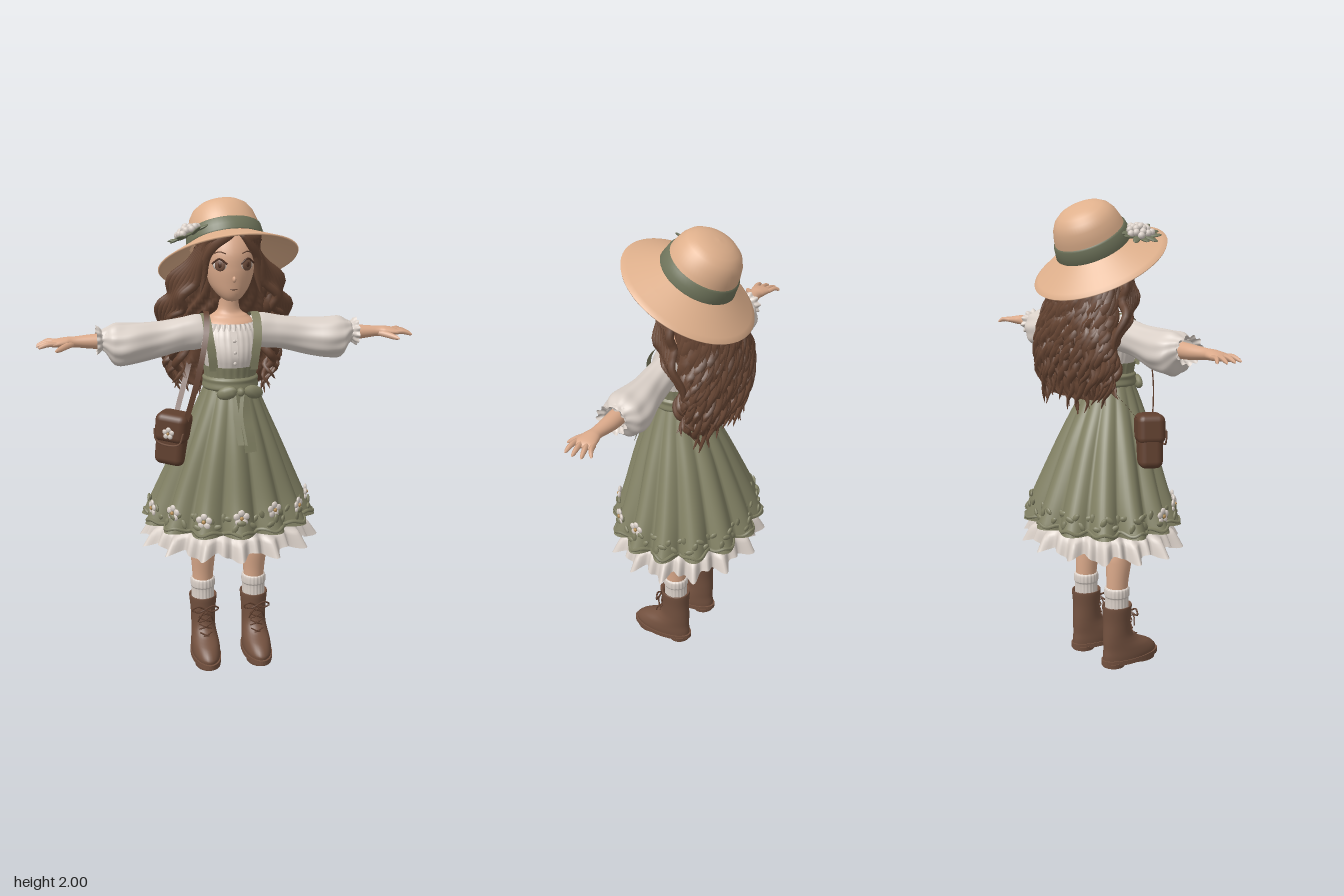
import * as THREE from 'three';
import { mergeGeometries } from 'three/addons/utils/BufferGeometryUtils.js';
import { RoundedBoxGeometry } from 'three/addons/geometries/RoundedBoxGeometry.js';
import { ParametricGeometry } from 'three/addons/geometries/ParametricGeometry.js';

const V = (x, y, z) => new THREE.Vector3(x, y, z);
const { sin, cos, abs, PI, sqrt } = Math;

const mat = (name, color) => {
  const m = new THREE.MeshStandardMaterial({ color, side: THREE.DoubleSide });
  m.name = name;
  return m;
};

// Rows are [height, centreX, centreZ, radiusX, radiusZ]
function sampler(rows, byHeight) {
  const f = new THREE.CubicInterpolant(rows.map((r, i) => (byHeight ? r[0] : i)), rows.flat(), 5);
  return (t) => [...f.evaluate(t)];
}
// Smooth skin over elliptical rows, with optional fold and lift rules
function loft(rows, fold = () => 1, seg = 28, stacks = 20, lift = () => 0) {
  const at = sampler(rows);
  return new ParametricGeometry((u, v, p) => {
    const [y, cx, cz, rx, rz] = at(v * (rows.length - 1));
    const a = u * 2 * PI, k = fold(a, v);
    p.set(cx + rx * k * sin(a), y + lift(a, v), cz + rz * k * cos(a));
  }, seg, stacks);
}
// Round strand along points, thinning by a rule
function strand(pts, r, taper = (t) => sqrt(1 - 0.96 * t ** 4), n = 16, sides = 6) {
  const curve = new THREE.CatmullRomCurve3(pts.map((p) => V(...p)));
  const g = new THREE.TubeGeometry(curve, n, r, sides);
  const pos = g.attributes.position, q = V(0, 0, 0);
  for (let i = 0; i < pos.count; i++) {
    const t = g.attributes.uv.getX(i), c = curve.getPointAt(t);
    q.fromBufferAttribute(pos, i).sub(c).multiplyScalar(taper(t)).add(c);
    pos.setXYZ(i, q.x, q.y, q.z);
  }
  return g;
}
// Flat band along points, widened in one direction
function ribbon(pts, width, dir = V(1, 0, 0)) {
  const curve = new THREE.CatmullRomCurve3(pts.map((p) => V(...p)));
  return new ParametricGeometry((u, v, p) => p.copy(curve.getPoint(v)).addScaledVector(dir, (u - 0.5) * width), 2, 28);
}
function blob(pos, size, ry = 0, rz = 0) {
  const g = new THREE.SphereGeometry(1, 9, 7).scale(...size);
  return g.rotateZ(rz).rotateY(ry).translate(...pos);
}
const lockTaper = (t) => Math.max(0.04, sqrt(1 - t ** 3) * (0.6 + 0.4 * sin(PI * t)));

export function createModel() {
  const skin = mat('skin', 0xdaa98a), hair = mat('hair', 0x654432), straw = mat('straw', 0xdfb08c);
  const sage = mat('sage cloth', 0x828164), cream = mat('cream cloth', 0xdad0c8), boot = mat('boot leather', 0x73513f);
  const leather = mat('bag leather', 0x61402f), leaf = mat('leaf green', 0x6f745b), gold = mat('flower centre', 0xb98f56);
  const dark = mat('eye brown', 0x503224);
  const model = new THREE.Group();
  const add = (name, geo, material, parent = model) => {
    const m = new THREE.Mesh(Array.isArray(geo) ? mergeGeometries(geo) : geo, material);
    m.name = name;
    parent.add(m);
    return m;
  };
  const flower = (parent, pos, ry, r) => {
    const g = new THREE.Group();
    g.name = 'flower';
    g.position.set(...pos);
    g.rotation.y = ry;
    add('petals', [0, 1, 2, 3, 4].map((i) => blob([r * sin(i * 1.257), r * cos(i * 1.257), 0], [r * 0.7, r * 0.7, r * 0.35])), cream, g);
    add('flowerCentre', blob([0, 0, r * 0.3], [r * 0.4, r * 0.4, r * 0.3]), gold, g);
    parent.add(g);
  };

  // Head, neck and upper chest
  add('head', loft([[1.598, 0, 0.085, 0.002, 0.002], [1.605, 0, 0.075, 0.03, 0.033], [1.63, 0, 0.05, 0.06, 0.073], [1.67, 0, 0.03, 0.086, 0.1],
    [1.73, 0, 0.02, 0.103, 0.115], [1.8, 0, 0.012, 0.108, 0.117], [1.87, 0, -0.01, 0.095, 0.1], [1.93, 0, -0.02, 0.04, 0.04]], undefined, 32, 28), skin);
  add('nose', blob([0, 1.693, 0.133], [0.008, 0.013, 0.013]), skin);
  add('mouth', blob([0, 1.652, 0.126], [0.017, 0.003, 0.005]), boot);
  add('neck', loft([[1.44, 0, 0.035, 0.11, 0.085], [1.5, 0, 0.025, 0.106, 0.072], [1.53, 0, 0.015, 0.08, 0.052],
    [1.56, 0, 0.01, 0.045, 0.042], [1.65, 0, 0.015, 0.04, 0.04]]), skin);
  for (const s of [-1, 1]) {
    const eye = new THREE.Group();
    eye.name = 'eye';
    eye.position.set(s * 0.055, 1.748, 0.117);
    eye.rotation.y = s * 0.5;
    add('eyeWhite', blob([0, 0, 0], [0.03, 0.021, 0.006]), cream, eye);
    add('iris', blob([-s * 0.002, 0, 0.003], [0.024, 0.023, 0.006]), boot, eye);
    add('pupil', blob([-s * 0.002, 0.002, 0.007], [0.009, 0.011, 0.004]), dark, eye);
    add('lash', strand([[-0.032, 0.006, 0.003], [0, 0.026, 0.006], [0.032, 0.006, 0.003]], 0.004, () => 1), dark, eye);
    add('brow', strand([[-0.024, 0.047, 0], [0, 0.054, 0.002], [0.024, 0.047, 0]], 0.0025, () => 1), hair, eye);
    model.add(eye);
    add('ear', blob([s * 0.106, 1.725, 0.005], [0.012, 0.027, 0.02]), skin);
  }

  // Hair: cap, back mass and wavy locks that follow it
  add('hairCap', loft([[1.6, 0, -0.05, 0.1, 0.085], [1.75, 0, -0.035, 0.126, 0.122], [1.85, 0, -0.03, 0.122, 0.125],
    [1.91, 0, -0.04, 0.09, 0.09], [1.94, 0, -0.04, 0.002, 0.002]], (a) => 1 + 0.015 * sin(22 * a), 88), hair);
  const massRows = [[1.21, 0, -0.14, 0.17, 0.055], [1.3, 0, -0.142, 0.205, 0.072], [1.45, 0, -0.13, 0.205, 0.083],
    [1.58, 0, -0.09, 0.17, 0.1], [1.75, 0, -0.04, 0.128, 0.118], [1.82, 0, -0.035, 0.115, 0.11]];
  add('hairBack', loft(massRows, (a, v) => 1 + 0.05 * sin(13 * a + 3 * sin(v * 16)), 78, 32), hair);
  const mass = sampler(massRows, true), locks = [];
  for (let i = 0; i < 66; i++) {
    const layer = i % 3, b = ((i / 65) * 2 - 1) * 1.75;
    const end = [1.175, 1.26, 1.38][layer] + 0.03 * sin(i * 2.3), top = 1.8 - 0.03 * layer;
    const pts = [];
    for (let j = 0; j <= 14; j++) {
      const t = j / 14, y = top + (end - top) * t, [, , cz, rx, rz] = mass(y);
      const w = j * 1.55 + i * 0.9 + layer;
      const a = b + 0.13 * Math.min(1, 2 * t) * sin(w);
      const k = 1.02 + 0.15 * t * abs(sin(b)) + 0.1 * t * cos(w);
      pts.push([rx * k * sin(a), y, cz - rz * k * cos(a)]);
    }
    locks.push(strand(pts, 0.024, lockTaper, 36, 5));
  }
  for (const s of [-1, 1]) {
    // Side curls, ringlets below the sleeves and a parted fringe
    for (let i = 0; i < 7; i++) {
      const d = i * 0.016;
      locks.push(strand([[s * 0.09, 1.85, 0.07 - d], [s * (0.122 + d * 0.3), 1.75, 0.065 - d], [s * (0.14 + d), 1.67, 0.045 - d],
        [s * (0.2 + d * 0.3), 1.61, 0.03 - d], [s * (0.185 + d), 1.56, 0.01 - d], [s * (0.235 + d * 0.3), 1.52 - d * 0.5, -0.03 - d],
        [s * (0.2 + d * 0.4), 1.46 - d, -0.08 - d * 0.4]], 0.02, lockTaper, 26));
    }
    for (let i = 0; i < 4; i++) {
      const pts = [];
      for (let j = 0; j <= 8; j++) {
        const w = j * 1.6 + i * 1.3;
        pts.push([s * (0.19 + 0.012 * i + 0.024 * sin(w)), 1.48 - j * (0.034 - 0.002 * i), -0.075 - 0.022 * i + 0.018 * cos(w)]);
      }
      locks.push(strand(pts, 0.019, lockTaper, 28));
    }
    for (let i = 0; i < 5; i++) {
      const d = i * 0.014;
      locks.push(strand([[0.018, 1.885, 0.085], [0.015 + s * (0.03 + d), 1.862 - d * 0.1, 0.106 - d * 0.2],
        [s * (0.072 + d * 0.5), 1.825, 0.1 - d * 0.5], [s * 0.107, 1.765 - d, 0.075 - d * 0.3], [s * 0.125, 1.68 - d, 0.05]], 0.02, lockTaper, 22));
    }
  }
  add('hairLocks', locks, hair);

  // Sun hat, tipped back
  const hat = new THREE.Group();
  hat.name = 'hat';
  hat.position.set(0, 1.77, -0.015);
  hat.rotation.set(-0.49, 0, 0.07);
  model.add(hat);
  const lathe = (pts) => new THREE.LatheGeometry(pts.map((p) => new THREE.Vector2(...p)), 56);
  add('brim', lathe([[0.15, 0.042], [0.22, 0.005], [0.27, -0.022], [0.287, -0.03], [0.291, -0.024], [0.27, -0.012], [0.22, 0.016], [0.153, 0.055]]), straw, hat);
  add('crown', lathe([[0.156, 0.05], [0.151, 0.09], [0.145, 0.13], [0.134, 0.168], [0.117, 0.196], [0.092, 0.215], [0.06, 0.227], [0.03, 0.231], [0, 0.233]]), straw, hat);
  add('hatBand', lathe([[0.158, 0.05], [0.163, 0.056], [0.159, 0.08], [0.155, 0.106], [0.147, 0.112]]), leaf, hat);
  const posy = new THREE.Group();
  posy.name = 'hatPosy';
  posy.position.set(-0.168, 0.062, 0.115);
  posy.rotation.set(0.35, 0, 0.35);
  hat.add(posy);
  const hatLeaves = [], blossoms = [];
  for (let i = 0; i < 11; i++) hatLeaves.push(blob([0, 0, 0], [0.036, 0.006, 0.015], 0, 0.25 * (i % 2)).translate(0.056, 0, 0).rotateY(i * 0.571));
  for (let i = 0; i < 16; i++) {
    const a = i * 2.4, r = 0.013 * sqrt(i);
    blossoms.push(blob([r * cos(a), 0.03 - r * 0.4, r * sin(a)], [0.015, 0.015, 0.015]));
  }
  add('hatLeaves', hatLeaves, leaf, posy);
  add('hatBlossoms', blossoms, cream, posy);

  // Blouse, neckline frill and buttons
  add('blouse', loft([[1.24, 0, 0.045, 0.098, 0.088], [1.3, 0, 0.045, 0.1, 0.09], [1.38, 0, 0.05, 0.116, 0.105],
    [1.45, 0, 0.042, 0.125, 0.094], [1.5, 0, 0.028, 0.111, 0.077]], (a, v) => 1 + 0.012 * sin(30 * a) * v, 120, 12), cream);
  add('necklineFrill', loft([[1.482, 0, 0.032, 0.117, 0.086], [1.498, 0, 0.029, 0.114, 0.083], [1.512, 0, 0.026, 0.107, 0.079]],
    (a) => 1 + 0.04 * sin(32 * a), 160, 4, (a) => -0.006 * cos(a)), cream);
  add('placket', ribbon([[0, 1.33, 0.145], [0, 1.38, 0.159], [0, 1.44, 0.143], [0, 1.48, 0.122]], 0.024), cream);
  add('buttons', [1.355, 1.4, 1.445].map((y, i) => blob([0, y, [0.157, 0.158, 0.144][i]], [0.007, 0.007, 0.004])), cream);

  // Sleeves, arms and hands
  for (const s of [-1, 1]) {
    const along = (rows, fold, seg, n) => loft(rows.map(([x, dy, ...r]) => [x, -s * dy, ...r]), fold, seg, n).rotateZ(-s * PI / 2).translate(0, 1.45, 0);
    add('sleeve', along([[0.07, 0.015, 0.01, 0.045, 0.045], [0.12, 0.015, 0.01, 0.07, 0.063], [0.2, 0.006, 0.01, 0.071, 0.06], [0.3, -0.013, 0.01, 0.074, 0.066],
      [0.41, -0.026, 0.012, 0.086, 0.09], [0.475, -0.026, 0.012, 0.083, 0.088], [0.51, -0.01, 0.014, 0.052, 0.056], [0.525, -0.006, 0.015, 0.04, 0.043]],
    (a, v) => 1 + 0.04 * v * sin(9 * a + 5 * v) + 0.02 * sin(25 * v + 2 * a), 64, 32), cream);
    add('cuffFrill', along([[0.505, -0.006, 0.015, 0.05, 0.055], [0.522, -0.006, 0.015, 0.039, 0.042], [0.535, -0.006, 0.015, 0.05, 0.056], [0.548, -0.006, 0.015, 0.056, 0.064]],
      (a, v) => 1 + 0.1 * v * sin(11 * a), 88, 8), cream);
    add('forearm', along([[0.48, -0.01, 0.015, 0.034, 0.036], [0.56, -0.01, 0.015, 0.03, 0.033], [0.635, -0.008, 0.02, 0.022, 0.026], [0.67, -0.008, 0.022, 0.021, 0.035],
      [0.71, -0.01, 0.022, 0.016, 0.043], [0.73, -0.013, 0.022, 0.01, 0.037], [0.736, -0.013, 0.022, 0.001, 0.002]]), skin);
    const fingers = [[-0.012, -0.042, 0.765], [0.01, -0.012, 0.787], [0.033, 0.025, 0.79], [0.054, 0.06, 0.783]].map(([z0, z1, x]) =>
      strand([[s * 0.705, 1.44, z0], [s * 0.745, 1.441, (z0 + z1) / 2], [s * x, 1.428, z1]], 0.0105));
    fingers.push(strand([[s * 0.645, 1.437, 0.035], [s * 0.68, 1.43, 0.067], [s * 0.715, 1.42, 0.098]], 0.0135));
    add('fingers', fingers, skin);
  }

  // Pinafore dress
  add('bodice', loft([[1.23, 0, 0.045, 0.112, 0.103], [1.28, 0, 0.045, 0.107, 0.098], [1.335, 0, 0.047, 0.113, 0.104]], (a) => 1 + 0.01 * sin(24 * a), 96, 8), sage);
  add('sash', loft([[1.235, 0, 0.045, 0.112, 0.104], [1.245, 0, 0.045, 0.118, 0.11], [1.265, 0, 0.045, 0.115, 0.107], [1.28, 0, 0.045, 0.117, 0.108], [1.29, 0, 0.045, 0.108, 0.1]]), sage);
  for (const s of [-1, 1]) {
    add('shoulderStrap', ribbon([[s * 0.082, 1.32, 0.125], [s * 0.09, 1.39, 0.132], [s * 0.1, 1.46, 0.122], [s * 0.104, 1.525, 0.075],
      [s * 0.104, 1.543, 0.02], [s * 0.1, 1.5, -0.05], [s * 0.08, 1.32, -0.05]], 0.036), sage);
  }
  const skirtRows = [[0.655, 0, 0, 0.35, 0.3], [0.69, 0, 0, 0.338, 0.292], [0.8, 0, 0.005, 0.295, 0.258], [1, 0, 0.025, 0.213, 0.196],
    [1.15, 0, 0.04, 0.148, 0.138], [1.25, 0, 0.045, 0.106, 0.097]];
  const lobes = (a) => 2 * sqrt(cos(7 * a) ** 2 + 0.01) - 1.2;
  add('skirt', loft(skirtRows, (a, v) => 1 + (0.015 + 0.09 * (1 - v)) * lobes(a), 168, 22), sage);
  add('underskirt', loft([[0.55, 0, 0, 0.37, 0.313], [0.61, 0, 0, 0.342, 0.292], [0.67, 0, 0, 0.295, 0.255], [0.95, 0, 0.02, 0.18, 0.165]],
    (a, v) => 0.96 + (1 - v) * (0.05 * cos(14 * a) + 0.055 * cos(28 * a + sin(3 * a))), 252, 10,
    (a, v) => 0.014 * (1 - v) * (1 - cos(14 * a + 0.7))), cream);
  const skirtAt = sampler(skirtRows, true);
  const onSkirt = (a, y) => {
    const [, , cz, rx, rz] = skirtAt(y), k = 1.005 + 0.083 * lobes(a);
    return [rx * k * sin(a), y, cz + rz * k * cos(a)];
  };
  const hem = [], vine = [];
  for (let i = 0; i < 84; i++) {
    const a = (i / 84) * 2 * PI;
    hem.push(blob(onSkirt(a, 0.718 + 0.022 * sin(i * 2.1)), [0.021, 0.012, 0.007], a, i * 1.3));
  }
  for (let i = 0; i <= 168; i++) vine.push(onSkirt((i / 168) * 2 * PI, 0.672 + 0.006 * sin(i)));
  add('hemLeaves', hem, sage);
  add('hemPiping', strand(vine, 0.008, () => 1, 252, 5), sage);
  for (let k = -3; k <= 3; k++) flower(model, onSkirt(k * PI / 7, 0.74 + 0.015 * (k % 2)), k * PI / 7, 0.021);

  // Sash bow with hanging tails
  add('bow', [blob([-0.035, 1.237, 0.168], [0.045, 0.028, 0.018], -0.3, 0.3), blob([0.075, 1.237, 0.165], [0.045, 0.028, 0.018], 0.3, -0.3),
    blob([0.02, 1.24, 0.174], [0.017, 0.019, 0.018])], sage);
  add('bowTails', [ribbon([[0.024, 1.235, 0.174], [0.035, 1.15, 0.19], [0.045, 1.07, 0.216], [0.052, 1, 0.235]], 0.055, V(0.95, 0, -0.3)),
    ribbon([[0.015, 1.235, 0.174], [0.005, 1.15, 0.197], [0.018, 1.03, 0.232]], 0.04, V(0.95, 0, 0.3))], sage);

  // Shoulder bag with a flap over both faces
  const bag = new THREE.Group();
  bag.name = 'bag';
  bag.position.set(-0.247, 1.025, 0.065);
  bag.rotation.set(0, -0.5, -0.1);
  model.add(bag);
  add('bagBody', new RoundedBoxGeometry(0.13, 0.215, 0.1, 3, 0.03), leather, bag);
  add('bagFlap', new RoundedBoxGeometry(0.14, 0.125, 0.116, 3, 0.03).translate(0, 0.055, 0.002), leather, bag);
  add('bagStitching', strand([[-0.064, 0.05, 0.06], [-0.05, 0, 0.061], [0, -0.012, 0.062], [0.05, 0, 0.061], [0.064, 0.05, 0.06]], 0.004, () => 1), boot, bag);
  flower(bag, [0.0, 0.04, 0.064], 0, 0.016);
  add('bagStrap', ribbon([[-0.2, 1.11, 0.12], [-0.165, 1.25, 0.15], [-0.13, 1.4, 0.148], [-0.108, 1.5, 0.11], [-0.1, 1.553, 0.03],
    [-0.115, 1.49, -0.07], [-0.155, 1.3, -0.09], [-0.225, 1.12, 0.02]], 0.024, V(0.9, 0, 0.43)), leather);

  // Legs, socks and laced boots
  for (const s of [-1, 1]) {
    const leg = new THREE.Group();
    leg.name = 'leg';
    leg.position.x = s * 0.115;
    model.add(leg);
    add('shin', loft([[0.27, 0, 0, 0.041, 0.043], [0.38, 0, 0.002, 0.046, 0.048], [0.48, 0, 0.01, 0.054, 0.055], [0.57, 0, 0.015, 0.056, 0.056], [0.93, -s * 0.02, 0.01, 0.07, 0.072]]), skin, leg);
    add('sock', loft([[0.25, 0, 0, 0.05, 0.051], [0.315, 0, 0, 0.049, 0.05], [0.325, 0, 0, 0.053, 0.055], [0.355, 0, 0, 0.052, 0.054], [0.362, 0, 0, 0.044, 0.046]],
      (a) => 1 + 0.02 * sin(20 * a), 80, 12), cream, leg);
    add('boot', loft([[0.025, 0, 0.07, 0.06, 0.138], [0.05, 0, 0.07, 0.062, 0.138], [0.08, 0, 0.055, 0.06, 0.12], [0.115, 0, 0.02, 0.055, 0.085], [0.15, 0, 0.004, 0.053, 0.068],
      [0.21, 0, 0.001, 0.055, 0.063], [0.272, 0, 0.001, 0.061, 0.067], [0.28, 0, 0.001, 0.058, 0.064], [0.272, 0, 0.001, 0.05, 0.055]], undefined, 32, 32), boot, leg);
    const soleShape = new THREE.Shape().absellipse(0, -0.072, 0.065, 0.148, 0, 2 * PI);
    add('sole', new THREE.ExtrudeGeometry(soleShape, { depth: 0.02, bevelEnabled: false, curveSegments: 20 }).rotateX(-PI / 2).translate(0, 0.013, 0), boot, leg);
    add('heel', new THREE.CylinderGeometry(0.052, 0.05, 0.02, 24).translate(0, 0.01, -0.017), boot, leg);
    add('treadFront', new THREE.CylinderGeometry(0.058, 0.055, 0.02, 24).scale(1, 1, 1.3).translate(0, 0.01, 0.13), boot, leg);
    const laces = [];
    [[0.12, 0.098], [0.15, 0.074], [0.18, 0.067], [0.21, 0.067]].forEach(([y, z]) => {
      for (const d of [-1, 1]) laces.push(strand([[-d * 0.027, y - 0.012, z - 0.004], [0, y, z + 0.003], [d * 0.027, y + 0.012, z - 0.008]], 0.0035, () => 1, 8, 5));
    });
    for (const d of [-1, 1]) {
      laces.push(strand([[0, 0.232, 0.072], [d * 0.035, 0.25, 0.078], [d * 0.058, 0.232, 0.07], [d * 0.03, 0.222, 0.076], [0, 0.232, 0.074]], 0.004, () => 1, 20, 5));
      laces.push(strand([[0, 0.232, 0.073], [d * 0.022, 0.205, 0.08], [d * 0.034, 0.175, 0.07]], 0.0035, () => 1, 10, 5));
    }
    add('laces', laces, leather, leg);
  }
  return model;
}
